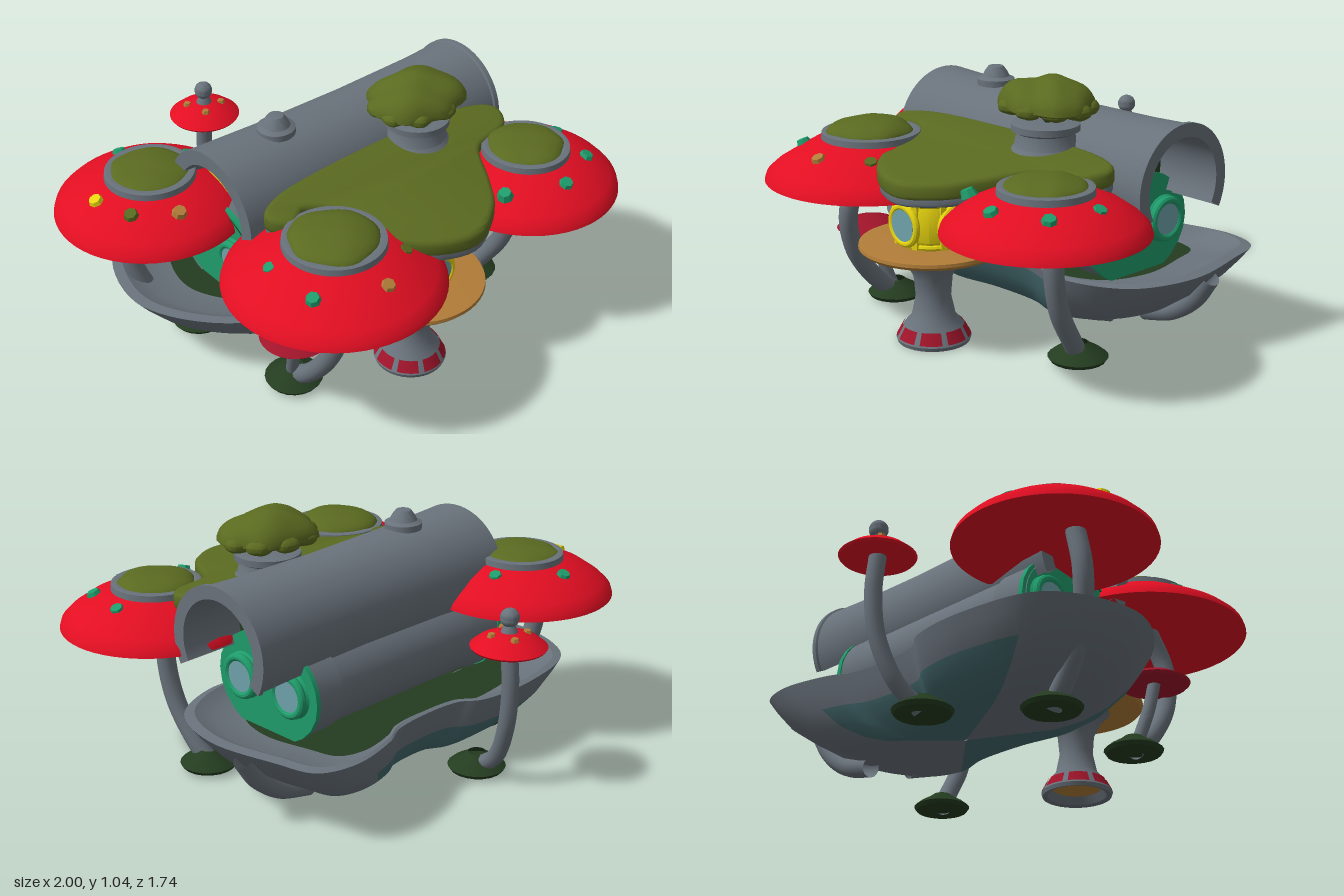
import * as THREE from 'three';
import { toCreasedNormals } from 'three/addons/utils/BufferGeometryUtils.js';

const V = (x, y, z) => new THREE.Vector3(x, y, z);

export function createModel() {
  const root = new THREE.Group();
  const M = {};
  const colours = {
    stoneGrey: 0x69727b, capRed: 0xe20e22, mossGreen: 0x5a6a20, darkMoss: 0x243c20, lampYellow: 0xf0dc10,
    portTeal: 0x1f9c6b, glassBlue: 0x6fa2aa, tableTan: 0xb27d38, panelRed: 0xa0142a, hullTeal: 0x44696d,
  };
  for (const [name, color] of Object.entries(colours)) {
    M[name] = new THREE.MeshStandardMaterial({ color, side: THREE.DoubleSide });
    M[name].name = name;
  }

  const add = (name, geo, mat, x = 0, y = 0, z = 0, parent = root) => {
    const mesh = new THREE.Mesh(toCreasedNormals(geo, 0.6), mat);
    mesh.name = name;
    mesh.position.set(x, y, z);
    parent.add(mesh);
    return mesh;
  };
  const lathe = (pts, seg = 48, start = 0, len = Math.PI * 2) =>
    new THREE.LatheGeometry(pts.map(p => new THREE.Vector2(...p)), seg, start, len);
  const tube = (pts, r, seg = 24) => new THREE.TubeGeometry(new THREE.CatmullRomCurve3(pts), seg, r, 14);

  // Softly lumpy, flattened mound
  const mound = (rx, up, down, rz, bump = 0.05, seed = 0) => {
    const g = new THREE.SphereGeometry(1, 40, 20), p = g.attributes.position;
    for (let i = 0; i < p.count; i++) {
      const x = p.getX(i), y = p.getY(i), z = p.getZ(i);
      const k = 1 + bump * (Math.sin(4 * x + seed) * Math.cos(4 * z + seed) + 0.4 * Math.sin(7 * x - 6 * z + seed));
      p.setXYZ(i, x * rx * k, y * (y > 0 ? up : down) * k, z * rz * k);
    }
    g.computeVertexNormals();
    return g;
  };

  // ---- Boat-shaped hull: lofted scaled copies of one outline
  const outline = [[.84, -.1], [.79, -.4], [.74, -.56], [.6, -.61], [.38, -.57], [.26, -.515], [-.05, -.515], [-.14, -.57],
    [-.4, -.59], [-.72, -.5], [-.84, -.18], [-.73, .07], [-.5, .24], [-.1, .2], [.25, .2], [.5, .26], [.75, .15]];
  const rim = new THREE.CatmullRomCurve3(outline.map(([x, z]) => V(x, 0, z)), true).getPoints(120).slice(0, 120);
  const loft = (levels) => {
    const pos = [], sets = [[], []], n = rim.length;
    levels.forEach(([s, y]) => rim.forEach(p => pos.push(p.x * s, y, -.18 + (p.z + .18) * s)));
    for (let i = 0; i + 1 < levels.length; i++) for (let j = 0; j < n; j++) {
      const a = i * n + j, b = i * n + (j + 1) % n, c = b + n, d = a + n;
      // tinted keel area, reaching higher on the front flank
      const { x, z } = rim[j], top = levels[i + 1][1];
      const tinted = x < .5 && ((x > -.65 && top < .21) || (x > -.2 && z > 0 && top < .28));
      sets[tinted ? 1 : 0].push(a, b, d, b, c, d);
    }
    const g = new THREE.BufferGeometry();
    g.setAttribute('position', new THREE.Float32BufferAttribute(pos, 3));
    g.setIndex([...sets[0], ...sets[1]]);
    g.addGroup(0, sets[0].length, 0);
    g.addGroup(sets[0].length, sets[1].length, 1);
    return g;
  };
  add('hull', loft([[.01, .06], [.48, .065], [.62, .085], [.76, .13], [.88, .2], [.96, .275], [1, .32]]),
    [M.stoneGrey, M.hullTeal]);
  add('hullRim', loft([[1, .32], [.95, .325], [.86, .285], [.7, .27]]), [M.stoneGrey, M.stoneGrey]);
  add('deck', loft([[.71, .272], [.01, .272]]), [M.darkMoss, M.darkMoss]);
  add('keel', tube([V(.8, .28, -.24), V(.73, .18, -.24), V(.62, .1, -.24), V(.48, .06, -.24)], .04), M.stoneGrey);
  add('hullStep', tube([V(.49, .27, .22), V(.48, .15, .12), V(.47, .08, -.05)], .02), M.stoneGrey);

  // ---- Inner tank: mossy front half, plain back half
  const tank = new THREE.Group();
  tank.name = 'tank';
  tank.position.set(0, .45, -.105);
  root.add(tank);
  const tankShell = (name, mat, r, len, x, start = 0, sweep = Math.PI * 2) => {
    const g = new THREE.CylinderGeometry(r, r, len, 40, 1, true, start, sweep);
    add(name, g.rotateY(-Math.PI / 2).rotateZ(-Math.PI / 2).scale(1, .8, 1), mat, x, 0, 0, tank);
  };
  tankShell('tankMossyFront', M.darkMoss, .25, 1.02, .02, 0, Math.PI);
  tankShell('tankBack', M.stoneGrey, .25, 1.02, .02, Math.PI, Math.PI);
  tankShell('tankGreyBand', M.stoneGrey, .262, .13, .48);
  tankShell('tankGreyBand', M.stoneGrey, .262, .14, -.4);
  add('tankMossPatch', mound(.2, .08, .08, .03, .08, 2), M.mossGreen, .34, .05, .24, tank);
  // Teal end plates, each with two portholes
  for (const s of [1, -1]) {
    const ex = s > 0 ? .545 : -.475;
    add('endPlate', new THREE.CylinderGeometry(.268, .268, .02, 24).rotateZ(Math.PI / 2).scale(1, .8, 1), M.portTeal, ex, 0, 0, tank);
    for (const pz of [-.135, .125]) {
      add('portholeCollar', new THREE.CylinderGeometry(.075, .095, .03, 24, 1, true).rotateZ(-s * Math.PI / 2), M.portTeal, ex + s * .022, .01, pz, tank);
      add('portholeRing', new THREE.TorusGeometry(.075, .016, 10, 28).rotateY(Math.PI / 2), M.portTeal, ex + s * .03, .01, pz, tank);
      add('portholeGlass', new THREE.CylinderGeometry(.064, .064, .008, 24).rotateZ(Math.PI / 2), M.glassBlue, ex + s * .034, .01, pz, tank);
    }
  }

  // ---- Arched pipe over the tank, open below, with thick flared ends
  const arc = Math.PI * 1.32;
  const pipe = lathe([[.188, -.655], [.248, -.655], [.246, -.62], [.232, -.3], [.224, .1], [.226, .45], [.232, .63], [.24, .635],
    [.24, .655], [.188, .655], [.188, -.655]], 48, Math.PI * 1.5 - arc / 2, arc);
  add('archPipe', pipe.rotateZ(-Math.PI / 2), M.stoneGrey, .125, .66, -.085).rotation.y = .015;
  for (const s of [1, -1]) {
    const x = s > 0 ? .5 : -.4;
    add('archWall', new THREE.CylinderGeometry(.187, .187, .02, 32).rotateZ(Math.PI / 2), M.darkMoss, x, .66, -.085);
    add('archWindow', new THREE.CylinderGeometry(.158, .158, .008, 32).rotateZ(Math.PI / 2).scale(1, .6, 1), M.lampYellow, x + s * .015, .735, -.085);
  }
  add('pipeKnob', lathe([[0, 0], [.075, 0], [.075, .025], [.055, .035], [.045, .055], [.03, .075], [0, .08]], 28), M.stoneGrey, -.21, .885, -.075);

  // ---- Moss platform sloping down to the front, on a grey slab; notched beside the front right cap
  const edge = [[-.48, .2], [-.37, .14], [.1, .11], [.6, .14], [.7, .2], [.66, .28], [.47, .33], [.36, .5], [.27, .62],
    [.11, .7], [-.07, .64], [-.19, .5], [-.2, .36], [-.25, .27], [-.35, .22], [-.43, .26]];
  const slab = (h, bevel, grow) => {
    const pts = edge.map(([x, z]) => V(.1 + (x - .1) * grow, .35 + (z - .35) * grow, 0));
    const curve = new THREE.CatmullRomCurve3(pts, true).getPoints(80).slice(0, 80);
    const shape = new THREE.Shape(curve.map(p => new THREE.Vector2(p.x, p.y)));
    const g = new THREE.ExtrudeGeometry(shape, { depth: h, bevelEnabled: true, bevelSize: bevel, bevelThickness: bevel, bevelSegments: 3 });
    g.rotateX(Math.PI / 2);
    const p = g.attributes.position;
    for (let i = 0; i < p.count; i++) p.setY(i, p.getY(i) - .14 * (p.getZ(i) - .13));
    return g;
  };
  add('mossPlatform', slab(.03, .02, .97), M.mossGreen, 0, .762, 0);
  add('platformSlab', slab(.025, .012, .975), M.stoneGrey, 0, .724, 0);

  // ---- Potted umbrella tree
  add('treePot', lathe([[0, 0], [.15, 0], [.12, .03], [.11, .08], [.13, .09], [.13, .115], [.1, .12], [0, .115]], 28), M.stoneGrey, .31, .745, .15);
  add('treeCrown', mound(.2, .105, .02, .165, .09, 1), M.mossGreen, .31, .925, .14);
  for (let i = 0; i < 9; i++) {
    const a = i * Math.PI * 2 / 9, c = Math.cos(a), s = Math.sin(a);
    add('crownLobe', mound(.055, .035, .03, .05, .05, i), M.mossGreen, .31 + .155 * c, .925, .14 + .125 * s);
    add('treeBranch', tube([V(.31, .855, .14), V(.31 + .02 * c, .88, .14 + .02 * s), V(.31 + .1 * c, .92, .14 + .09 * s)], .006, 8), M.darkMoss);
  }

  // ---- Mushrooms: domed cap, grey ring, moss top, spots, curved stem, mossy foot
  const footProfile = [[0, .015], [.105, .015], [.115, .03], [.09, .05], [.055, .07], [.036, .085]];
  const mushroom = (name, cx, cz, R, lift, top, mossTop, spots, stem) => {
    const g = new THREE.Group();
    g.name = name;
    root.add(g);
    add('cap', lathe([[0, .61], [.5 * R, .605], [.95 * R, .575], [R, .58], [.98 * R, .605], [.9 * R, .635], [.72 * R, .682],
      [.5 * R, top - .02], [.3 * R, top], [0, top]], 56), M.capRed, cx, lift, cz, g);
    add('capRing', lathe([[.32 * R, top - .03], [.47 * R, top - .03], [.46 * R, top + .008], [.4 * R, top + .012], [.32 * R, top]], 36), M.stoneGrey, cx, lift, cz, g);
    add('capMoss', mound(.41 * R, mossTop - top, .02, .41 * R, .04, cx * 9), M.mossGreen, cx, top + lift, cz, g);
    for (const [dx, dz, mat] of spots) {
      const a = Math.atan2(dz, dx);
      const spot = add('capSpot', new THREE.CylinderGeometry(.024, .034, .03, 7), mat, cx + dx, .697 + lift, cz + dz, g);
      spot.rotation.set(Math.sin(a) * .4, 0, -Math.cos(a) * .4);
    }
    add('stem', tube(stem, .038), M.stoneGrey, 0, 0, 0, g);
    const f = stem[stem.length - 1];
    add('foot', lathe(footProfile, 20), M.darkMoss, f.x, 0, f.z, g);
  };
  const { portTeal: T, lampYellow: Y, mossGreen: G, tableTan: N } = M;
  mushroom('backRightMushroom', -.62, -.34, .38, .01, .735, .77,
    [[.01, -.23, T], [-.24, -.01, Y], [.21, -.05, T], [-.19, .15, G], [-.04, .25, N]],
    [V(-.72, .62, -.34), V(-.75, .45, -.34), V(-.7, .25, -.3), V(-.58, .1, -.26), V(-.5, .03, -.24)]);
  mushroom('frontRightMushroom', -.36, .45, .42, -.005, .755, .815,
    [[-.24, -.07, T], [-.23, .16, T], [.02, .27, N], [.2, .16, G]],
    [V(-.38, .62, .46), V(-.4, .45, .54), V(-.42, .28, .51), V(-.43, .12, .4), V(-.43, .03, .29)]);
  mushroom('frontLeftMushroom', .62, .45, .378, -.005, .74, .785,
    [[.22, -.04, T], [.18, .16, T], [-.02, .24, T], [-.25, .14, T]],
    [V(.62, .62, .4), V(.62, .42, .41), V(.61, .25, .37), V(.59, .1, .28), V(.57, .03, .23)]);

  // Small mushroom behind, with a ball finial
  const back = new THREE.Group();
  back.name = 'backMushroom';
  root.add(back);
  add('cap', lathe([[0, .605], [.14, .598], [.146, .606], [.11, .635], [.05, .66], [0, .665]], 36), M.capRed, -.09, 0, -.725, back);
  add('finialNeck', new THREE.CylinderGeometry(.018, .035, .04, 16), M.stoneGrey, -.09, .675, -.725, back);
  add('finial', new THREE.SphereGeometry(.037, 20, 14), M.stoneGrey, -.09, .717, -.725, back);
  for (let i = 0; i < 4; i++)
    add('capSpot', new THREE.CylinderGeometry(.014, .018, .014, 6), M.tableTan, -.09 + .07 * Math.cos(i * 1.6 + .5), .655, -.725 + .07 * Math.sin(i * 1.6 + .5), back);
  add('stem', tube([V(-.09, .61, -.725), V(-.09, .45, -.74), V(-.1, .27, -.72), V(-.13, .11, -.65), V(-.15, .03, -.55)], .033), M.stoneGrey, 0, 0, 0, back);
  add('foot', lathe(footProfile, 20), M.darkMoss, -.15, 0, -.54, back);

  // Low mushroom beside the tank
  add('lowMushroomCap', lathe([[0, .31], [.13, .305], [.14, .315], [.09, .345], [0, .365]], 32), M.panelRed, -.48, 0, .37);
  add('lowMushroomStem', tube([V(-.48, .32, .37), V(-.47, .2, .34), V(-.44, .04, .29)], .025), M.stoneGrey);

  // ---- Pedestal table with yellow lantern; the base is hollow below
  const table = new THREE.Group();
  table.name = 'lanternTable';
  table.position.set(.02, 0, .465);
  root.add(table);
  add('pedestal', lathe([[.1, .04], [.12, .005], [.14, 0], [.145, .015], [.115, .065], [.085, .1], [.068, .18], [.075, .26], [.11, .33], [.15, .365], [0, .365]], 40), M.stoneGrey, 0, 0, 0, table);
  add('baseFloor', new THREE.CylinderGeometry(.1, .1, .008, 32), M.tableTan, 0, .04, 0, table);
  for (let i = 0; i < 8; i++)
    add('basePanel', lathe([[.143, .022], [.119, .066]], 6, i * Math.PI / 4 - .31, .62), M.panelRed, 0, 0, 0, table);
  add('tableTop', lathe([[0, .355], [.2, .36], [.27, .372], [.282, .385], [.28, .398], [.26, .4], [0, .395]], 48), M.tableTan, 0, 0, 0, table);
  add('lanternBody', lathe([[0, .395], [.115, .395], [.135, .43], [.135, .55], [.115, .59], [0, .6]], 16), M.lampYellow, 0, 0, 0, table);
  for (const y of [.41, .575])
    add('lanternBand', new THREE.TorusGeometry(.126, .012, 8, 24).rotateX(Math.PI / 2), M.lampYellow, 0, y, 0, table);
  for (let i = 0; i < 8; i++) {
    const a = (i + .5) * Math.PI / 4;
    add('lanternRib', new THREE.BoxGeometry(.022, .17, .022), M.lampYellow, .135 * Math.sin(a), .49, .135 * Math.cos(a), table).rotation.y = a;
  }
  for (let i = 0; i < 4; i++) {
    const port = new THREE.Group();
    port.name = 'lanternPorthole';
    port.rotation.y = i * Math.PI / 2;
    table.add(port);
    add('ring', new THREE.TorusGeometry(.072, .014, 10, 28), M.lampYellow, 0, .49, .136, port);
    add('glass', new THREE.CylinderGeometry(.062, .062, .008, 24).rotateX(Math.PI / 2), M.glassBlue, 0, .49, .142, port);
  }
  add('lanternNeck', new THREE.CylinderGeometry(.1, .09, .1, 24), M.stoneGrey, 0, .635, 0, table);

  return root;
}
